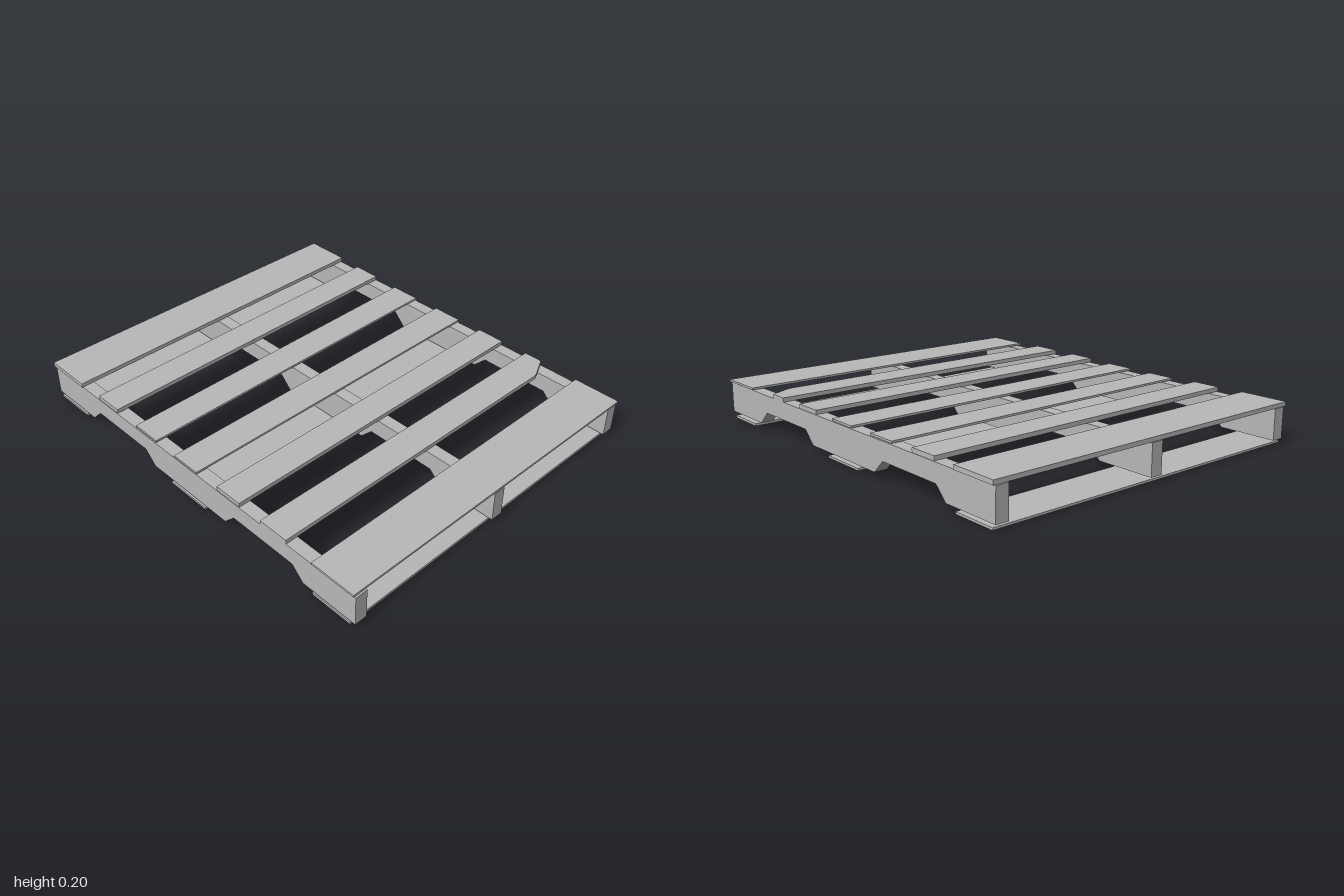
import * as THREE from 'three';

const wood = new THREE.MeshStandardMaterial({ color: 0xb8b8b8 });
wood.name = 'greyWood';

// Plank from its outline seen from above; the top slopes from yL (at -x) to yR (at +x)
function plank(name, outline, thickness, yL, yR) {
  const shape = new THREE.Shape(outline.map(([x, z]) => new THREE.Vector2(x, z)));
  const geo = new THREE.ExtrudeGeometry(shape, { depth: thickness, bevelEnabled: false });
  geo.rotateX(Math.PI / 2);
  const p = geo.attributes.position;
  for (let i = 0; i < p.count; i++) {
    const t = (p.getX(i) + 0.83) / 1.66;
    p.setY(i, p.getY(i) + yL + (yR - yL) * t);
  }
  geo.computeVertexNormals();
  const mesh = new THREE.Mesh(geo, wood);
  mesh.name = name;
  return mesh;
}

// Slightly skewed four-cornered outline
const quad = (x, backL, backR, frontL, frontR) =>
  [[-x, backL], [x, backR], [x, frontR], [-x, frontL]];

// Notched stringer running along z
function stringer(name, x) {
  const half = [[0.24, 0.03], [0.3, 0.09], [0.65, 0.09], [0.71, 0.03], [0.995, 0.03], [0.995, 0.174]];
  const mirrored = half.map(([z, y]) => [-z, y]).reverse();
  const shape = new THREE.Shape([...half, ...mirrored].map(([z, y]) => new THREE.Vector2(z, y)));
  const width = 0.06;
  const geo = new THREE.ExtrudeGeometry(shape, { depth: width, bevelEnabled: false });
  geo.rotateY(-Math.PI / 2);
  geo.translate(x + width / 2, 0, 0);
  const mesh = new THREE.Mesh(geo, wood);
  mesh.name = name;
  return mesh;
}

export function createModel() {
  const pallet = new THREE.Group();
  pallet.name = 'pallet';

  // Three load-bearing stringers
  pallet.add(
    stringer('rightStringer', -0.796),
    stringer('centreStringer', 0),
    stringer('leftStringer', 0.796),
  );

  // Top deck, back to front; one slat has a broken corner
  const chipped = [[-0.828, 0.47], [0.828, 0.485], [0.828, 0.575], [0.72, 0.628], [-0.828, 0.62]];
  const deck = [
    ['backTopBoard', quad(0.833, -1, -0.99, -0.765, -0.765), 0.02, 0.198, 0.195],
    ['topSlat1', quad(0.825, -0.635, -0.64, -0.495, -0.5), 0.02, 0.197, 0.195],
    ['topSlat2', quad(0.825, -0.355, -0.365, -0.21, -0.215), 0.01, 0.19, 0.188],
    ['topSlat3', quad(0.828, -0.08, -0.08, 0.07, 0.07), 0.01, 0.19, 0.188],
    ['topSlat4', quad(0.825, 0.2, 0.205, 0.34, 0.345), 0.02, 0.197, 0.195],
    ['chippedTopSlat', chipped, 0.02, 0.197, 0.195],
    ['frontTopBoard', quad(0.833, 0.765, 0.77, 0.99, 1), 0.01, 0.19, 0.188],
  ];

  // Bottom deck
  const base = [
    ['backBottomBoard', quad(0.828, -0.98, -0.98, -0.77, -0.77), 0.01, 0.018, 0.016],
    ['centreBottomBoard', quad(0.828, -0.12, -0.12, 0.11, 0.11), 0.01, 0.018, 0.016],
    ['frontBottomBoard', quad(0.828, 0.765, 0.77, 0.97, 0.97), 0.012, 0.024, 0.014],
  ];

  for (const args of [...deck, ...base]) pallet.add(plank(...args));
  return pallet;
}
